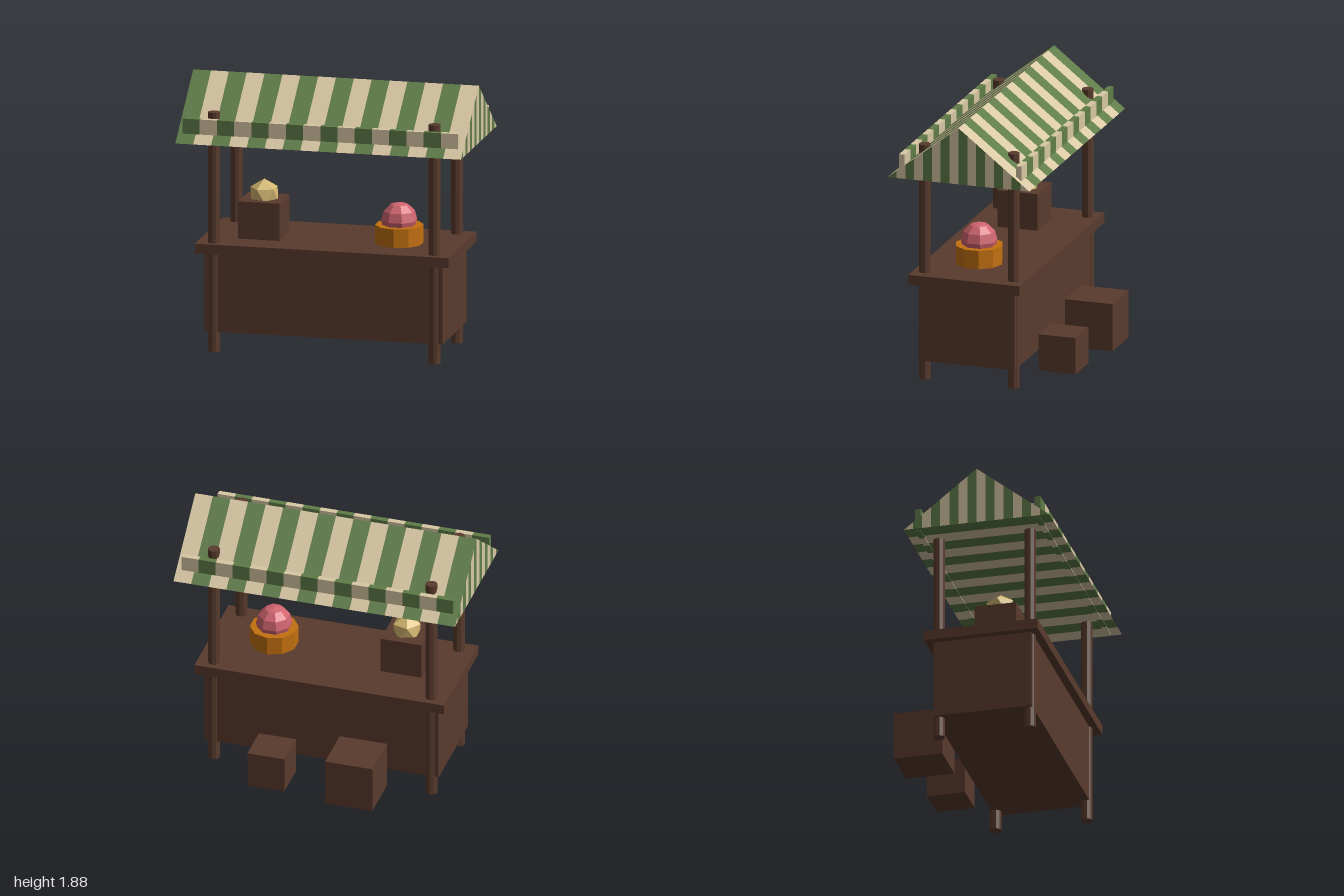
import * as THREE from 'three';

const material = (name, color) => {
  const m = new THREE.MeshStandardMaterial({ color, flatShading: true });
  m.name = name;
  return m;
};

export function createModel() {
  const wood = material('dark wood', 0x5a3b2d);
  const green = material('awning green', 0x5f7c48);
  const cream = material('awning cream', 0xd8c8a4);
  const orange = material('orange basket', 0xc4700f);
  const pink = material('pink fruit', 0xd0646e);
  const straw = material('straw yellow', 0xd4b870);
  const model = new THREE.Group();
  model.name = 'marketStall';

  const add = (name, geometry, mat, x = 0, y = 0, z = 0, parent = model) => {
    const mesh = new THREE.Mesh(geometry, mat);
    mesh.name = name;
    mesh.position.set(x, y, z);
    parent.add(mesh);
    return mesh;
  };
  // Box given by its limits on each axis
  const box = (name, mat, [x0, x1], [y0, y1], [z0, z1], parent) =>
    add(name, new THREE.BoxGeometry(x1 - x0, y1 - y0, z1 - z0), mat,
      (x0 + x1) / 2, (y0 + y1) / 2, (z0 + z1) / 2, parent);

  // Counter
  box('counterBody', wood, [-0.835, 0.83], [0.14, 0.69], [-0.245, 0.445]);
  box('counterTop', wood, [-0.89, 0.885], [0.69, 0.76], [-0.3, 0.5]);

  // Four posts that pass through the roof
  for (const x of [-0.776, 0.77])
    for (const z of [-0.22, 0.42])
      add('post', new THREE.CylinderGeometry(0.041, 0.041, 1.67, 10), wood, x, 0.835, z);

  // Crates: one on the counter, two behind it
  box('counterCrate', wood, [-0.64, -0.35], [0.76, 1.02], [-0.005, 0.285]);
  box('largeCrate', wood, [-0.475, -0.14], [0.025, 0.362], [-0.615, -0.275]);
  box('smallCrate', wood, [0.17, 0.433], [0.025, 0.283], [-0.548, -0.28]);

  // Faceted straw ball standing on one point
  const ball = new THREE.IcosahedronGeometry(0.109, 0);
  ball.rotateZ(Math.atan(2 / (1 + Math.sqrt(5))));
  add('strawBall', ball, straw, -0.492, 1.046, 0.14);

  // Basket and its fruit
  add('basket', new THREE.CylinderGeometry(0.165, 0.165, 0.13, 10), orange, 0.452, 0.825, 0.14);
  const fruit = new THREE.SphereGeometry(0.125, 8, 6);
  fruit.rotateY(Math.PI / 8);
  add('fruit', fruit, pink, 0.452, 0.921, 0.14);

  // Striped roof: a closed prism, one set of faces for each stripe
  const stripes = 16, lo = 1.48, hi = 1.88, front = 0.61, back = -0.41, ridge = 0.1;
  const corners = [[], []];
  const quad = (i, a, b, c, d) => corners[i % 2].push(...a, ...b, ...c, ...a, ...c, ...d);
  const roofY = z => lo + (hi - lo) * (1 - Math.abs(z - ridge) / (front - ridge));
  for (let i = 0; i < stripes; i++) {
    const x0 = -1 + (2 * i) / stripes, x1 = x0 + 2 / stripes;
    quad(i, [x0, lo, front], [x1, lo, front], [x1, hi, ridge], [x0, hi, ridge]);
    quad(i, [x1, lo, back], [x0, lo, back], [x0, hi, ridge], [x1, hi, ridge]);
    quad(i, [x0, lo, back], [x1, lo, back], [x1, lo, front], [x0, lo, front]);
    // Gable ends
    const step = (front - back) / stripes;
    const za = front - i * step, zb = za - step;
    const ends = x => [[x, lo, za], [x, lo, zb], [x, roofY(zb), zb], [x, roofY(za), za]];
    quad(i, ...ends(1));
    quad(i, ...ends(-1).reverse());
  }
  const roof = new THREE.Group();
  roof.name = 'roof';
  model.add(roof);
  corners.forEach((points, i) => {
    const g = new THREE.BufferGeometry();
    g.setAttribute('position', new THREE.Float32BufferAttribute(points, 3));
    g.computeVertexNormals();
    add(i ? 'creamRoofStripes' : 'greenRoofStripes', g, i ? cream : green, 0, 0, 0, roof);
  });

  // Striped valance boards along both eaves
  for (const [name, z] of [['frontValance', [0.5, 0.54]], ['backValance', [-0.34, -0.3]]]) {
    const valance = new THREE.Group();
    valance.name = name;
    model.add(valance);
    const w = 1.93 / stripes;
    for (let i = 0; i < stripes; i++) {
      const x = -0.967 + i * w;
      box('valanceStripe', i % 2 ? cream : green, [x, x + w], [1.475, 1.64], z, valance);
    }
  }
  return model;
}
